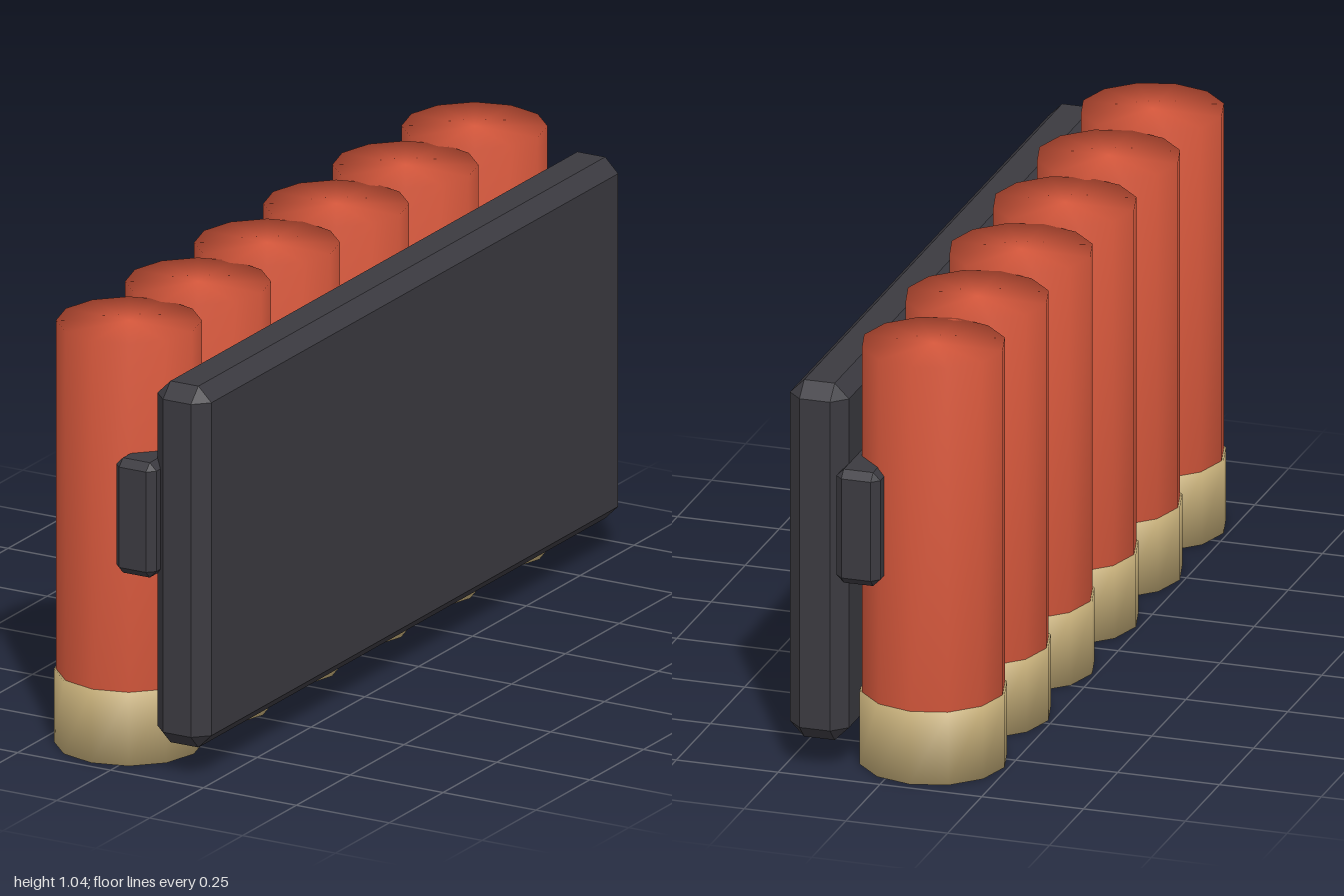
import * as THREE from 'three';
import { mergeVertices } from 'three/addons/utils/BufferGeometryUtils.js';
import { ConvexGeometry } from 'three/addons/geometries/ConvexGeometry.js';

// Box with every edge and corner chamfered by c
function chamferBox(w, h, d, c) {
  const points = [];
  for (const x of [-1, 1]) for (const y of [-1, 1]) for (const z of [-1, 1]) {
    const a = w / 2, b = h / 2, e = d / 2;
    points.push(
      new THREE.Vector3(x * a, y * (b - c), z * (e - c)),
      new THREE.Vector3(x * (a - c), y * b, z * (e - c)),
      new THREE.Vector3(x * (a - c), y * (b - c), z * e)
    );
  }
  return new ConvexGeometry(points);
}

// Twelve-sided cylinder shaded smoothly over sides and caps
function softCylinder(radius, height) {
  const geometry = new THREE.CylinderGeometry(radius, radius, height, 12);
  geometry.deleteAttribute('normal');
  geometry.deleteAttribute('uv');
  const merged = mergeVertices(geometry, 1e-4);
  merged.computeVertexNormals();
  return merged;
}

export function createModel() {
  const model = new THREE.Group();
  model.name = 'cartridgeHolder';

  const red = new THREE.MeshStandardMaterial({ name: 'shell red', color: 0xd9593d });
  const brass = new THREE.MeshStandardMaterial({ name: 'brass', color: 0xc4ad78 });
  const dark = new THREE.MeshStandardMaterial({ name: 'dark polymer', color: 0x3b3a40 });

  function add(parent, name, geometry, material, x, y, z) {
    const mesh = new THREE.Mesh(geometry, material);
    mesh.name = name;
    mesh.position.set(x, y, z);
    parent.add(mesh);
  }

  // Mounting plate and the retaining strip behind the cartridges
  add(model, 'mountingPlate', chamferBox(0.145, 0.89, 1.96, 0.035), dark, 0.167, 0.52, 0);
  add(model, 'retainingStrip', chamferBox(0.108, 0.283, 2, 0.018), dark, 0.059, 0.627, 0);

  // Row of six cartridges
  const hull = softCylinder(0.17, 0.865);
  const cap = softCylinder(0.175, 0.18);
  for (let i = 0; i < 6; i++) {
    const cartridge = new THREE.Group();
    cartridge.name = `cartridge${i + 1}`;
    cartridge.position.set(-0.065, 0, (i - 2.5) * 0.321);
    add(cartridge, 'hull', hull, red, 0, 0.6055, 0);
    add(cartridge, 'brassBase', cap, brass, 0, 0.09, 0);
    model.add(cartridge);
  }

  return model;
}
